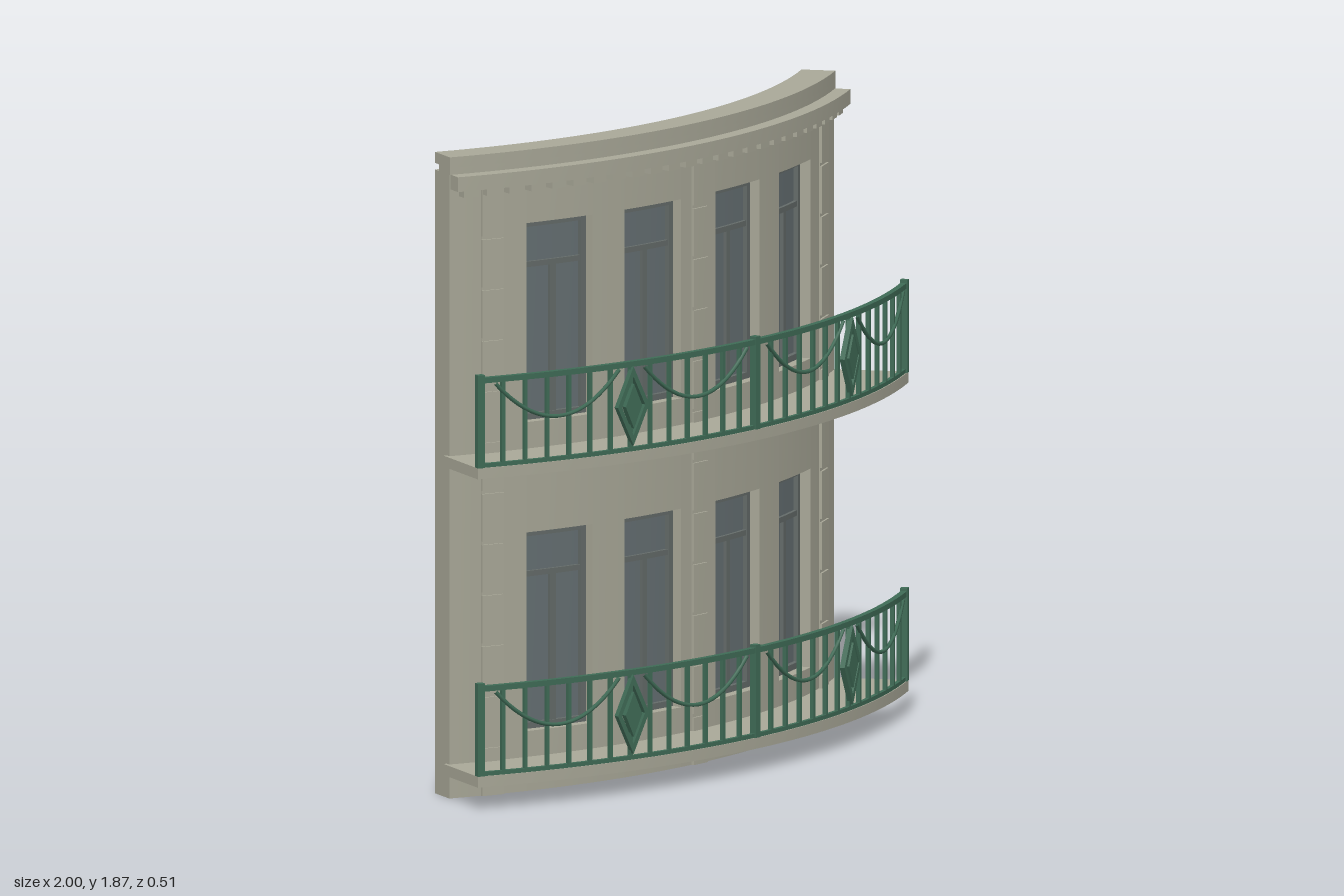
import * as THREE from 'three';
import { mergeGeometries } from 'three/addons/utils/BufferGeometryUtils.js';

const CZ = -1.98;          // centre of the plan curve
const R0 = 1.98;           // radius at depth 0
const WALL = 0.459;        // half angle of the wall
const DECK = 0.4644;       // half angle of the balconies
const BACK = -0.064, FACE = 0.031;
const WIN_ANGLES = [-0.275, -0.098, 0.098, 0.275];
const WIN_HALF = 0.0585;
const WINDOWS = [[0.174, 0.752], [1.073, 1.652]];

const stone = new THREE.MeshStandardMaterial({ color: 0xa9a898 });
stone.name = 'stone';
const green = new THREE.MeshStandardMaterial({ color: 0x3f6b56 });
green.name = 'greenIron';
const glass = new THREE.MeshStandardMaterial({ color: 0x667073 });
glass.name = 'glass';
const frameGrey = new THREE.MeshStandardMaterial({ color: 0x646b69 });
frameGrey.name = 'frameGrey';

// Point on the curved plan at angle a, depth d, height y
const at = (a, d, y) =>
  new THREE.Vector3((R0 + d) * Math.sin(a), y, CZ + (R0 + d) * Math.cos(a));

// Box bent along the plan curve
function arcBox(a0, a1, d0, d1, y0, y1) {
  const n = Math.max(1, Math.ceil((a1 - a0) / 0.03));
  const g = new THREE.BoxGeometry(1, 1, 1, n, 1, 1);
  const p = g.attributes.position;
  for (let i = 0; i < p.count; i++) {
    const v = at(a0 + (p.getX(i) + 0.5) * (a1 - a0),
      d0 + (p.getZ(i) + 0.5) * (d1 - d0),
      y0 + (p.getY(i) + 0.5) * (y1 - y0));
    p.setXYZ(i, v.x, v.y, v.z);
  }
  g.computeVertexNormals();
  return g;
}

function add(parent, name, material, geometries) {
  const mesh = new THREE.Mesh(mergeGeometries(geometries), material);
  mesh.name = name;
  parent.add(mesh);
}

// Wall: full-height piers with spandrels above and below the openings
function buildWall(group) {
  const top = 1.815, parts = [];
  let left = -WALL;
  for (const a of WIN_ANGLES) {
    parts.push(arcBox(left, a - WIN_HALF, BACK, FACE, 0, top));
    let y = 0;
    for (const [lo, hi] of WINDOWS) {
      parts.push(arcBox(a - WIN_HALF, a + WIN_HALF, BACK, FACE, y, lo));
      y = hi;
    }
    parts.push(arcBox(a - WIN_HALF, a + WIN_HALF, BACK, FACE, y, top));
    left = a + WIN_HALF;
  }
  parts.push(arcBox(left, WALL, BACK, FACE, 0, top));
  add(group, 'wall', stone, parts);
}

// Pilasters: strips of slightly raised blocks
function buildPilasters(group) {
  const parts = [];
  for (const [a, h] of [[-0.391, 0.0175], [0, 0.016], [0.391, 0.0175]]) {
    parts.push(arcBox(a - h, a + h, FACE - 0.005, FACE + 0.003, 0, 1.772));
    for (let i = 0; i < 12; i++) {
      const y = i * 0.148;
      parts.push(arcBox(a - h, a + h, FACE - 0.005, FACE + 0.009, y, Math.min(y + 0.138, 1.772)));
    }
  }
  add(group, 'pilasters', stone, parts);
}

// Cornice, dentils and parapet
function buildTop(group) {
  add(group, 'cornice', stone, [arcBox(-0.457, 0.457, 0.02, 0.08, 1.772, 1.815)]);
  const teeth = [], n = 25, step = 0.9 / n;
  for (let i = 0; i < n; i++) {
    const a = -0.45 + (i + 0.5) * step;
    teeth.push(arcBox(a - step * 0.32, a + step * 0.32, 0.02, 0.064, 1.75, 1.773));
  }
  add(group, 'dentils', stone, teeth);
  add(group, 'parapet', stone, [
    arcBox(-WALL, WALL, -0.036, 0.035, 1.814, 1.835),
    arcBox(-WALL, WALL, BACK, 0.035, 1.834, 1.866),
  ]);
}

// Double-leaf window with a transom light
function buildWindow(group, a, lo, hi) {
  const w = WIN_HALF, f = 0.009, b = -0.052;
  const win = new THREE.Group();
  win.name = 'window';
  const transom = hi - 0.128;
  add(win, 'windowFrame', frameGrey, [
    arcBox(a - w, a - w + f, b, 0, lo, hi),
    arcBox(a + w - f, a + w, b, 0, lo, hi),
    arcBox(a - w + f, a + w - f, b, 0, lo, lo + 0.018),
    arcBox(a - w + f, a + w - f, b, 0, hi - 0.018, hi),
    arcBox(a - w + f, a + w - f, -0.03, -0.004, transom - 0.008, transom + 0.008),
    arcBox(a - 0.005, a + 0.005, -0.03, -0.004, lo + 0.018, transom),
  ]);
  add(win, 'windowGlass', glass, [
    arcBox(a - w + f, a + w - f, -0.045, -0.014, lo + 0.018, hi - 0.018),
  ]);
  group.add(win);
}

// Diamond ring and solid centre, standing tangent to the railing
function diamond(w, h, hole, depth) {
  const pts = (x, y) => [[0, -y], [x, 0], [0, y], [-x, 0]].map((p) => new THREE.Vector2(...p));
  const s = new THREE.Shape(pts(w, h));
  if (hole) s.holes.push(new THREE.Path(pts(w * hole, h * hole)));
  return new THREE.ExtrudeGeometry(s, { depth, bevelEnabled: false });
}

function buildBalcony(group, y) {
  const bal = new THREE.Group();
  bal.name = 'balcony';
  add(bal, 'balconySlab', stone, [arcBox(-DECK, DECK, 0.015, 0.246, y - 0.032, y)]);

  const d0 = 0.231, d1 = 0.243, top = y + 0.262, end = DECK - 0.005;
  add(bal, 'rails', green, [
    arcBox(-end, end, 0.228, 0.246, top - 0.016, top),
    arcBox(-end, end, d0, d1, y, y + 0.012),
  ]);

  const posts = [], bars = [];
  for (const a of [-end, 0, end]) {
    posts.push(arcBox(a - 0.005, a + 0.005, 0.226, 0.248, y, top + 0.008));
  }
  add(bal, 'railingPosts', green, posts);
  for (let i = 1; i < 28; i++) {
    if (i === 14) continue;
    const a = -end + (2 * end * i) / 28;
    bars.push(arcBox(a - 0.0023, a + 0.0023, d0, d1, y + 0.01, top - 0.014));
  }
  add(bal, 'railingBars', green, bars);

  // Hanging swags, two on each side
  const swags = [];
  for (const mid of [-0.75, -0.25, 0.25, 0.75]) {
    const pts = [];
    for (let i = 0; i <= 12; i++) {
      const t = i / 6 - 1;
      pts.push(at(end * mid + t * end * 0.205, 0.243, y + 0.13 + 0.113 * t * t));
    }
    swags.push(new THREE.TubeGeometry(new THREE.CatmullRomCurve3(pts), 24, 0.006, 6));
  }
  add(bal, 'swags', green, swags);

  // Diamond ornaments
  const ornaments = [];
  for (const a of [-end / 2, end / 2]) {
    const p = at(a, 0.236, y + 0.133);
    for (const g of [diamond(0.057, 0.115, 0.74, 0.016), diamond(0.03, 0.065, 0, 0.018)]) {
      ornaments.push(g.rotateY(a).translate(p.x, p.y, p.z));
    }
  }
  add(bal, 'diamondOrnaments', green, ornaments);
  group.add(bal);
}

export function createModel() {
  const group = new THREE.Group();
  group.name = 'curvedFacade';
  buildWall(group);
  buildPilasters(group);
  buildTop(group);
  for (const a of WIN_ANGLES) {
    for (const [lo, hi] of WINDOWS) buildWindow(group, a, lo, hi);
  }
  for (const y of [0.099, 0.996]) buildBalcony(group, y);
  return group;
}
